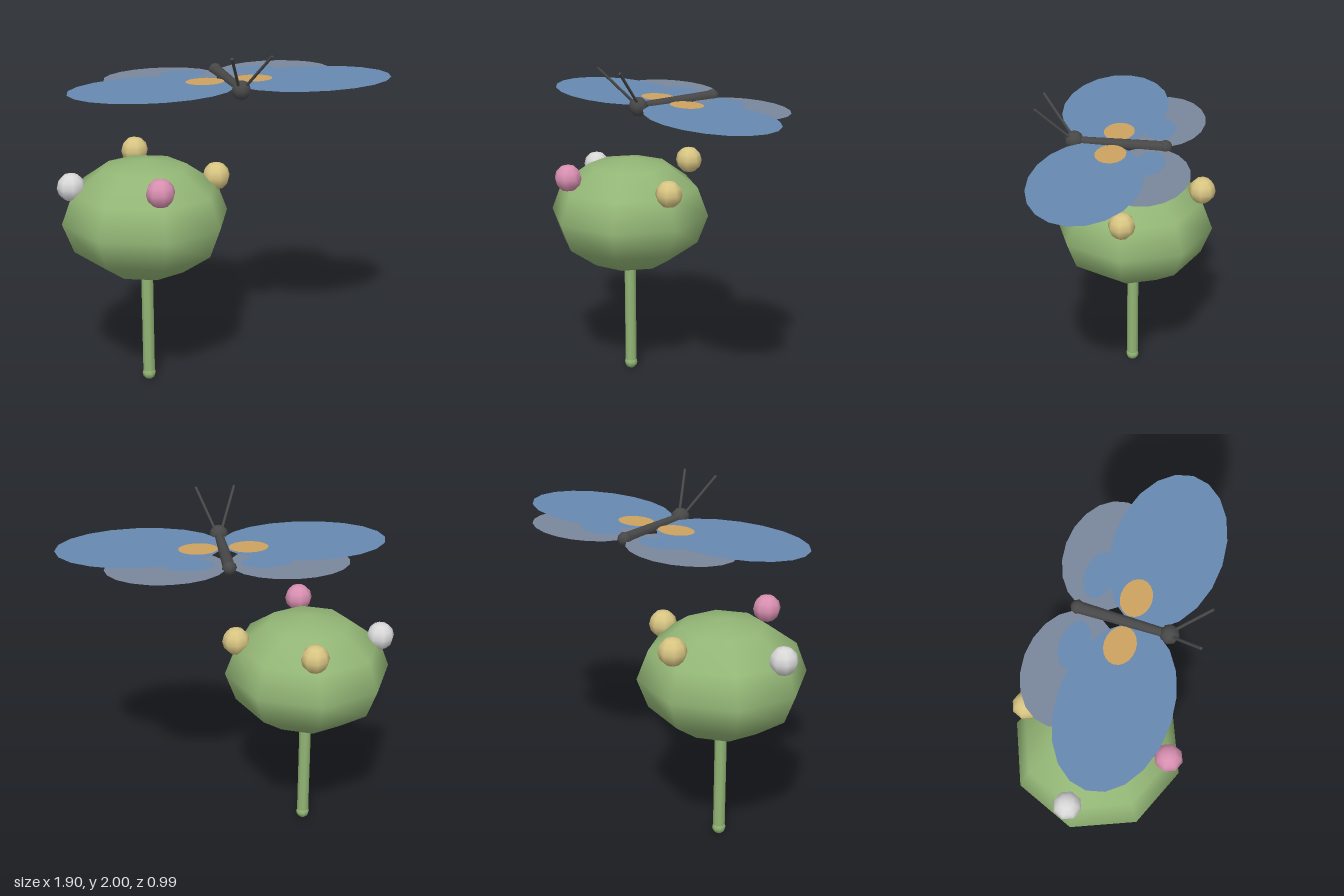
import * as THREE from 'three';

const material = (name, color, side = THREE.FrontSide) => {
  const m = new THREE.MeshStandardMaterial({ color, side });
  m.name = name;
  return m;
};

export function createModel() {
  const green = material('leaf green', 0x93b676);
  const white = material('white', 0xd8d8d8);
  const pink = material('pink', 0xd88fb0);
  const gold = material('gold', 0xd8c582);
  const dark = material('charcoal', 0x484848);
  const blue = material('wing blue', 0x6788b1, THREE.DoubleSide);
  const grey = material('wing grey', 0x7a869c, THREE.DoubleSide);
  const orange = material('spot orange', 0xcca260, THREE.DoubleSide);

  const model = new THREE.Group();
  model.name = 'butterflyAndBush';

  const add = (parent, name, geometry, mat, x, y, z) => {
    const mesh = new THREE.Mesh(geometry, mat);
    mesh.name = name;
    mesh.position.set(x, y, z);
    parent.add(mesh);
    return mesh;
  };
  const ball = (r) => new THREE.SphereGeometry(r, 8, 6);

  // Tapered rod between two points
  const rod = (parent, name, mat, a, b, ra, rb) => {
    const dir = b.clone().sub(a);
    const geometry = new THREE.CylinderGeometry(rb, ra, dir.length(), 8);
    const mid = a.clone().add(b).multiplyScalar(0.5);
    const mesh = add(parent, name, geometry, mat, mid.x, mid.y, mid.z);
    mesh.quaternion.setFromUnitVectors(new THREE.Vector3(0, 1, 0), dir.normalize());
  };

  // Bush: stem, rounded foot and squashed crown
  const bush = new THREE.Group();
  bush.name = 'bush';
  bush.position.x = -0.46;
  model.add(bush);
  add(bush, 'stem', new THREE.CylinderGeometry(0.035, 0.035, 0.8, 8), green, 0, 0.44, 0);
  add(bush, 'stemFoot', ball(0.04), green, 0, 0.04, 0);
  add(bush, 'crown', ball(0.48).scale(1, 0.71, 1), green, 0, 1.017, 0);

  // Blossoms around the crown
  [
    ['whiteBlossom', white, -0.415, 1.223, -0.03],
    ['pinkBlossom', pink, -0.013, 1.29, 0.415],
    ['sideGoldBlossom', gold, 0.415, 1.223, 0],
    ['backGoldBlossom', gold, 0.035, 1.29, -0.415],
  ].forEach(([name, mat, x, y, z]) => add(bush, name, ball(0.08), mat, x, y, z));

  // Butterfly body
  const butterfly = new THREE.Group();
  butterfly.name = 'butterfly';
  butterfly.position.set(0.024, 1.777, 0);
  model.add(butterfly);
  rod(butterfly, 'body', dark, new THREE.Vector3(0, 0, -0.25), new THREE.Vector3(0, 0, 0.25), 0.035, 0.025);
  add(butterfly, 'head', ball(0.054), dark, 0, 0, 0.25);
  add(butterfly, 'tail', ball(0.04), dark, 0, 0, -0.252);

  // Flat oval lying face up
  const oval = (name, mat, x, y, z, rx, rz) => {
    const geometry = new THREE.CircleGeometry(1, 20).rotateX(-Math.PI / 2).scale(rx, 1, rz);
    add(butterfly, name, geometry, mat, x, y, z);
  };

  // Mirrored wings, wing spots and antennae
  for (const [side, s] of [['left', 1], ['right', -1]]) {
    oval(side + 'HindWing', grey, s * 0.335, -0.006, -0.19, 0.33, 0.24);
    oval(side + 'ForeWing', blue, s * 0.46, 0, 0.1, 0.465, 0.3);
    oval(side + 'HindSpot', blue, s * 0.207, 0.004, -0.2, 0.137, 0.08);
    oval(side + 'ForeSpot', orange, s * 0.14, 0.006, 0.025, 0.11, 0.085);
    rod(butterfly, side + 'Antenna', dark,
      new THREE.Vector3(s * 0.018, 0.02, 0.265), new THREE.Vector3(s * 0.11, 0.218, 0.44), 0.008, 0.008);
  }

  return model;
}
